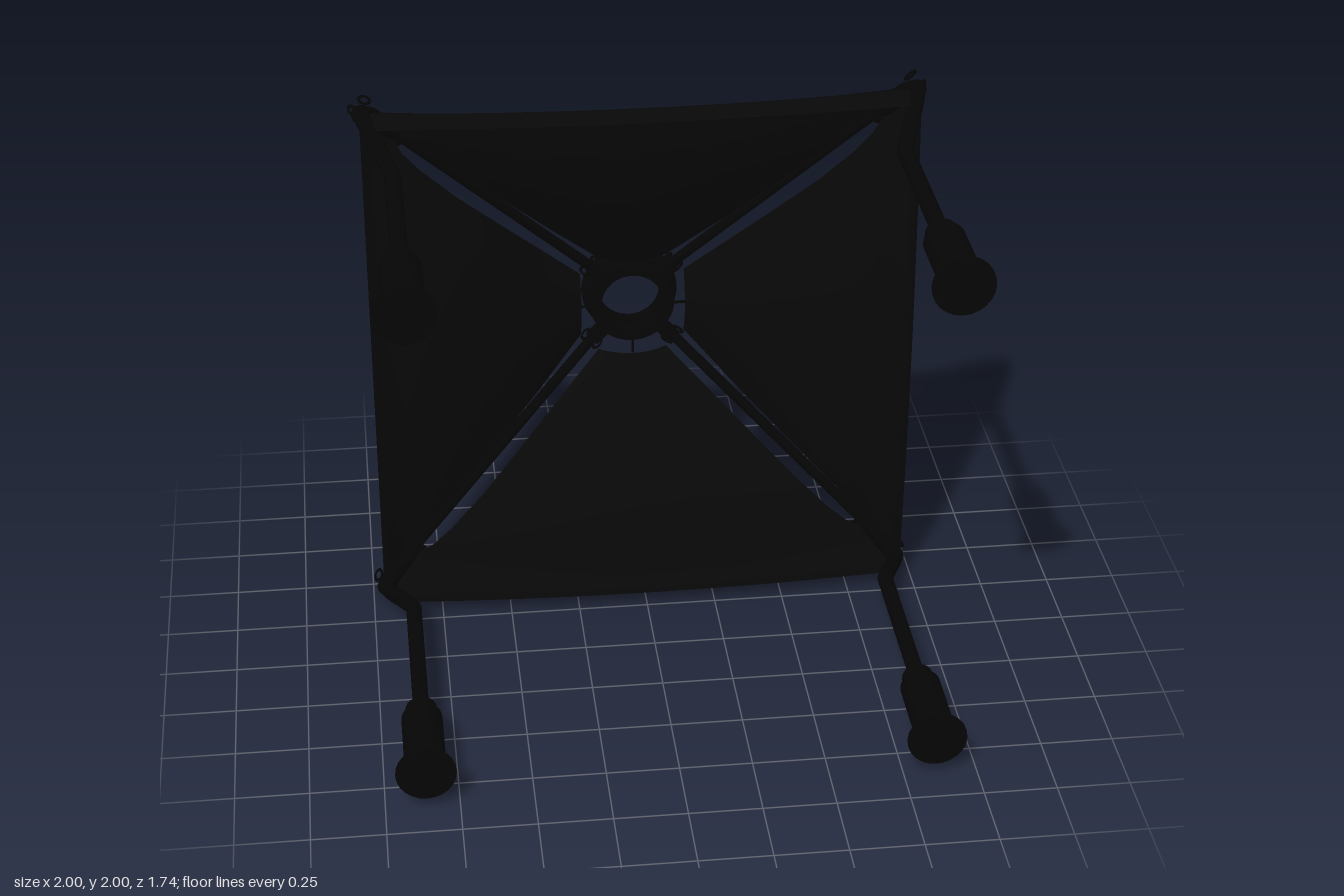
import * as THREE from 'three';
import { toCreasedNormals } from 'three/addons/utils/BufferGeometryUtils.js';

const V = (x, y, z) => new THREE.Vector3(x, y, z);

// One sagging fabric panel (top side): rows of [distance, half width, edge z, sag]
function panelGeometry() {
  const rows = [
    [0.19, 0.125, -0.755, 0.045], [0.36, 0.3, -0.655, 0.05], [0.5, 0.44, -0.58, 0.055],
    [0.64, 0.58, -0.51, 0.06], [0.76, 0.705, -0.472, 0.07], [0.82, 0.775, -0.466, 0.075],
    [0.85, 0.84, -0.464, 0.08], [0.94, 0.935, -0.455, 0.085], [0.96, 0.95, -0.4, 0.06],
    [0.955, 0.94, -0.35, 0.05], [0.945, 0.93, -0.29, 0.04],
  ];
  const n = 16, pos = [], idx = [];
  rows.forEach(([d, w, z, sag], r) => {
    for (let i = 0; i <= n; i++) {
      const u = (i / n) * 2 - 1;
      pos.push(u * w, d, z + sag * (1 - u * u));
      if (r && i) {
        const c = r * (n + 1) + i, b = c - n - 1;
        idx.push(b - 1, b, c, b - 1, c, c - 1);
      }
    }
  });
  const g = new THREE.BufferGeometry();
  g.setAttribute('position', new THREE.Float32BufferAttribute(pos, 3));
  g.setIndex(idx);
  g.computeVertexNormals();
  return g;
}

// Solid of revolution about z from [radius, z] pairs
function turned(points, segments = 32) {
  const g = new THREE.LatheGeometry(points.map(([r, z]) => new THREE.Vector2(r, z)), segments);
  g.rotateX(Math.PI / 2);
  return toCreasedNormals(g, 0.6);
}

// Tube in the diagonal plane x = y from [offset, z] pairs
function diagonalTube(points, radius, segments) {
  const curve = new THREE.CurvePath();
  for (let i = 1; i < points.length; i++) {
    const [a, az] = points[i - 1], [b, bz] = points[i];
    curve.add(new THREE.LineCurve3(V(a, a, az), V(b, b, bz)));
  }
  return new THREE.TubeGeometry(curve, segments, radius, 10);
}

export function createModel() {
  const fabric = new THREE.MeshStandardMaterial({ color: 0x080808, side: THREE.DoubleSide });
  fabric.name = 'black fabric';
  const metal = new THREE.MeshStandardMaterial({ color: 0x050505 });
  metal.name = 'black metal';

  const root = new THREE.Group();
  root.name = 'lightModifier';
  const frame = new THREE.Group();
  frame.name = 'frame';
  frame.position.y = 1;
  root.add(frame);

  const add = (parent, name, geometry, material = metal) => {
    const mesh = new THREE.Mesh(geometry, material);
    mesh.name = name;
    parent.add(mesh);
    return mesh;
  };

  // Shared shapes
  const panel = panelGeometry();
  const rod = diagonalTube([[0.125, -0.775], [0.81, -0.508], [0.93, -0.46]], 0.019, 30);
  const sleeve = diagonalTube([[0.82, -0.502], [0.925, -0.455], [0.952, -0.41]], 0.034, 16);
  const leg = diagonalTube([[0.952, -0.41], [0.945, -0.37], [0.872, -0.16], [0.86, -0.12], [0.86, 0.52]], 0.029, 50);
  const foot = turned([[0, 0.505], [0.054, 0.505], [0.054, 0.54], [0.07, 0.56], [0.07, 0.825],
    [0.102, 0.862], [0.102, 0.87], [0, 0.87]], 24);
  const loop = new THREE.TorusGeometry(0.016, 0.005, 6, 16);
  loop.scale(0.8, 1.3, 1);
  const post = new THREE.BoxGeometry(0.022, 0.032, 0.05);

  // Four identical sides and corners
  for (let k = 0; k < 4; k++) {
    const quarter = new THREE.Group();
    quarter.name = 'quarter' + (k + 1);
    quarter.rotation.z = (k * Math.PI) / 2;
    frame.add(quarter);

    add(quarter, 'fabricPanel', panel, fabric);
    add(quarter, 'tieCord', new THREE.BoxGeometry(0.008, 0.05, 0.008)).position.set(0, 0.175, -0.735);
    add(quarter, 'rod', rod);
    add(quarter, 'cornerSleeve', sleeve);
    add(quarter, 'leg', leg);
    add(quarter, 'cornerCap', new THREE.SphereGeometry(0.034, 12, 10)).position.set(0.952, 0.952, -0.41);
    add(quarter, 'foot', foot).position.set(0.86, 0.86, 0);
    add(quarter, 'hubClamp', new THREE.BoxGeometry(0.07, 0.05, 0.035)).position.set(0.125, 0.125, -0.765);
    quarter.children[quarter.children.length - 1].rotation.z = Math.PI / 4;

    // Paired loops either side of the diagonal
    for (const s of [-1, 1]) {
      const outer = add(quarter, 'cornerLoop', loop);
      outer.position.set(0.959 + s * 0.02, 0.959 - s * 0.02, -0.47);
      outer.rotation.set(0.5, 0.5, -Math.PI / 4 + s * 0.35);
      const inner = add(quarter, 'hubLoop', loop);
      inner.position.set(0.15 + s * 0.02, 0.15 - s * 0.02, -0.765);
      inner.rotation.set(0.5, 0.5, -Math.PI / 4);
    }
  }

  // Hub: front ring, windowed wall and flared back ring
  const hub = new THREE.Group();
  hub.name = 'hub';
  frame.add(hub);
  add(hub, 'frontRing', turned([[0.112, -0.79], [0.152, -0.79], [0.155, -0.745], [0.112, -0.745], [0.112, -0.79]], 40));
  add(hub, 'backRing', turned([[0.112, -0.87], [0.177, -0.87], [0.177, -0.858], [0.153, -0.828],
    [0.112, -0.828], [0.112, -0.87]], 40));
  for (let i = 0; i < 12; i++) {
    const a = ((i + 0.5) * Math.PI) / 6;
    const p = add(hub, 'wallPost', post);
    p.position.set(Math.cos(a) * 0.139, Math.sin(a) * 0.139, -0.81);
    p.rotation.z = a;
  }
  return root;
}
